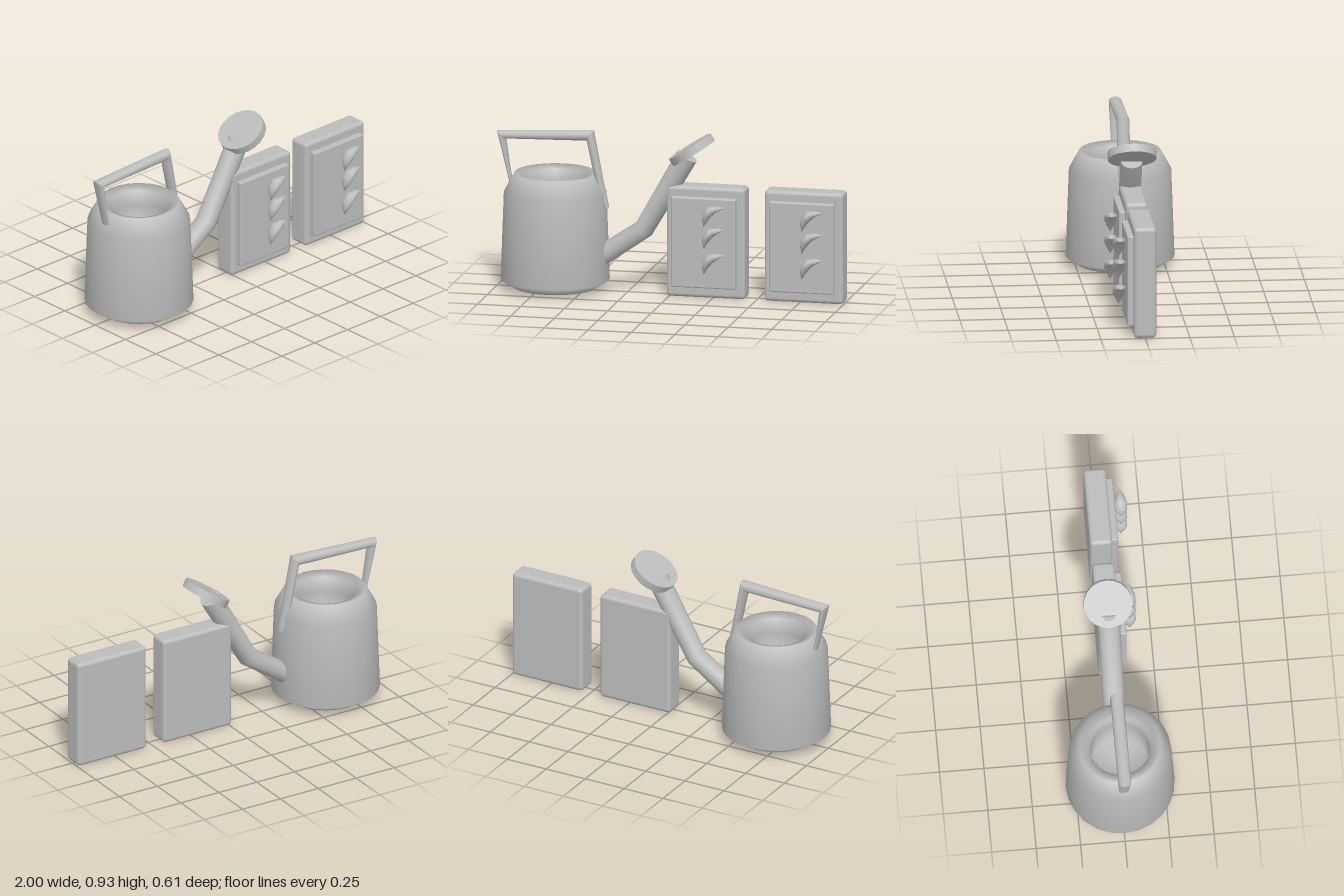
import * as THREE from 'three';
import { toCreasedNormals } from 'three/addons/utils/BufferGeometryUtils.js';
import { RoundedBoxGeometry } from 'three/addons/geometries/RoundedBoxGeometry.js';

// Skin over elliptical rings. Each ring is [ax, ay, bx, by, halfDepth]:
// a lies to the left of the direction of travel, b to the right.
function loft(rings, sides, crease) {
  const pos = [], index = [];
  for (const [ax, ay, bx, by, depth] of rings) {
    for (let j = 0; j < sides; j++) {
      const t = (j / sides) * Math.PI * 2, c = Math.cos(t) / 2;
      pos.push((ax + bx) / 2 + (ax - bx) * c, (ay + by) / 2 + (ay - by) * c, Math.sin(t) * depth);
    }
  }
  for (let i = 0; i < rings.length - 1; i++) {
    for (let j = 0; j < sides; j++) {
      const a = i * sides + j, b = i * sides + (j + 1) % sides;
      index.push(a, b, a + sides, b, b + sides, a + sides);
    }
  }
  // end caps
  const last = (rings.length - 1) * sides;
  for (let j = 1; j < sides - 1; j++) {
    index.push(0, j + 1, j, last, last + j, last + j + 1);
  }
  const geo = new THREE.BufferGeometry();
  geo.setAttribute('position', new THREE.Float32BufferAttribute(pos, 3));
  geo.setIndex(index);
  return toCreasedNormals(geo, crease);
}

export function createModel() {
  const model = new THREE.Group();
  model.name = 'wateringCanAndSeedPackets';
  const grey = new THREE.MeshStandardMaterial({ color: 0xbcbcbc });
  grey.name = 'plain grey';

  const add = (parent, name, geo, x = 0, y = 0, z = 0) => {
    const mesh = new THREE.Mesh(geo, grey);
    mesh.name = name;
    mesh.position.set(x, y, z);
    parent.add(mesh);
    return mesh;
  };

  const can = new THREE.Group();
  can.name = 'wateringCan';
  model.add(can);

  // Body with chamfered shoulders and a hollow opening
  const profile = [
    [0, 0.012], [0.235, 0.012], [0.306, 0.057], [0.288, 0.555], [0.228, 0.665],
    [0.17, 0.645], [0.165, 0.56], [0.16, 0.35], [0, 0.34],
  ].map(([x, y]) => new THREE.Vector2(x, y));
  add(can, 'body', new THREE.LatheGeometry(profile, 24), -0.667);

  // Handle: rear leg, top bar, front leg
  add(can, 'handle', loft([
    [-0.925, 0.58, -0.905, 0.58, 0.026],
    [-0.945, 0.67, -0.925, 0.67, 0.03],
    [-1.0, 0.89, -0.948, 0.845, 0.037],
    [-0.445, 0.917, -0.485, 0.855, 0.037],
    [-0.388, 0.62, -0.43, 0.6, 0.034],
    [-0.357, 0.478, -0.385, 0.478, 0.026],
  ], 12, 0.75), 0, 0, 0);

  // Bent spout
  add(can, 'spout', loft([
    [-0.45, 0.237, -0.39, 0.137, 0.061],
    [-0.2, 0.403, -0.112, 0.331, 0.062],
    [0.037, 0.827, 0.145, 0.765, 0.062],
  ], 16, 0.7));

  // Tilted disc at the end of the spout
  const rose = add(can, 'spoutHead',
    new THREE.CylinderGeometry(0.137, 0.137, 0.046, 20), 0.118, 0.834, 0);
  rose.rotation.z = 0.573;

  // Two packets, each a rounded slab with a raised panel and three curved sprouts
  const sprout = loft([
    [0.215, 0.424, 0.216, 0.423, 0.001],
    [0.207, 0.468, 0.236, 0.455, 0.022],
    [0.213, 0.508, 0.26, 0.486, 0.038],
    [0.245, 0.541, 0.288, 0.511, 0.036],
    [0.295, 0.547, 0.315, 0.526, 0.02],
    [0.338, 0.536, 0.338, 0.535, 0.001],
  ], 10, 1.2);
  for (const x of [0, 0.563]) {
    const packet = new THREE.Group();
    packet.name = x ? 'leftPacket' : 'rightPacket';
    packet.position.x = x;
    model.add(packet);
    add(packet, 'slab', new RoundedBoxGeometry(0.452, 0.636, 0.126, 3, 0.022), 0.21, 0.318, 0);
    add(packet, 'panel', new RoundedBoxGeometry(0.37, 0.517, 0.05, 2, 0.008), 0.205, 0.321, 0.072);
    for (const drop of [0, 0.127, 0.274]) {
      add(packet, 'sprout', sprout, 0, -drop, 0.131);
    }
  }
  return model;
}
